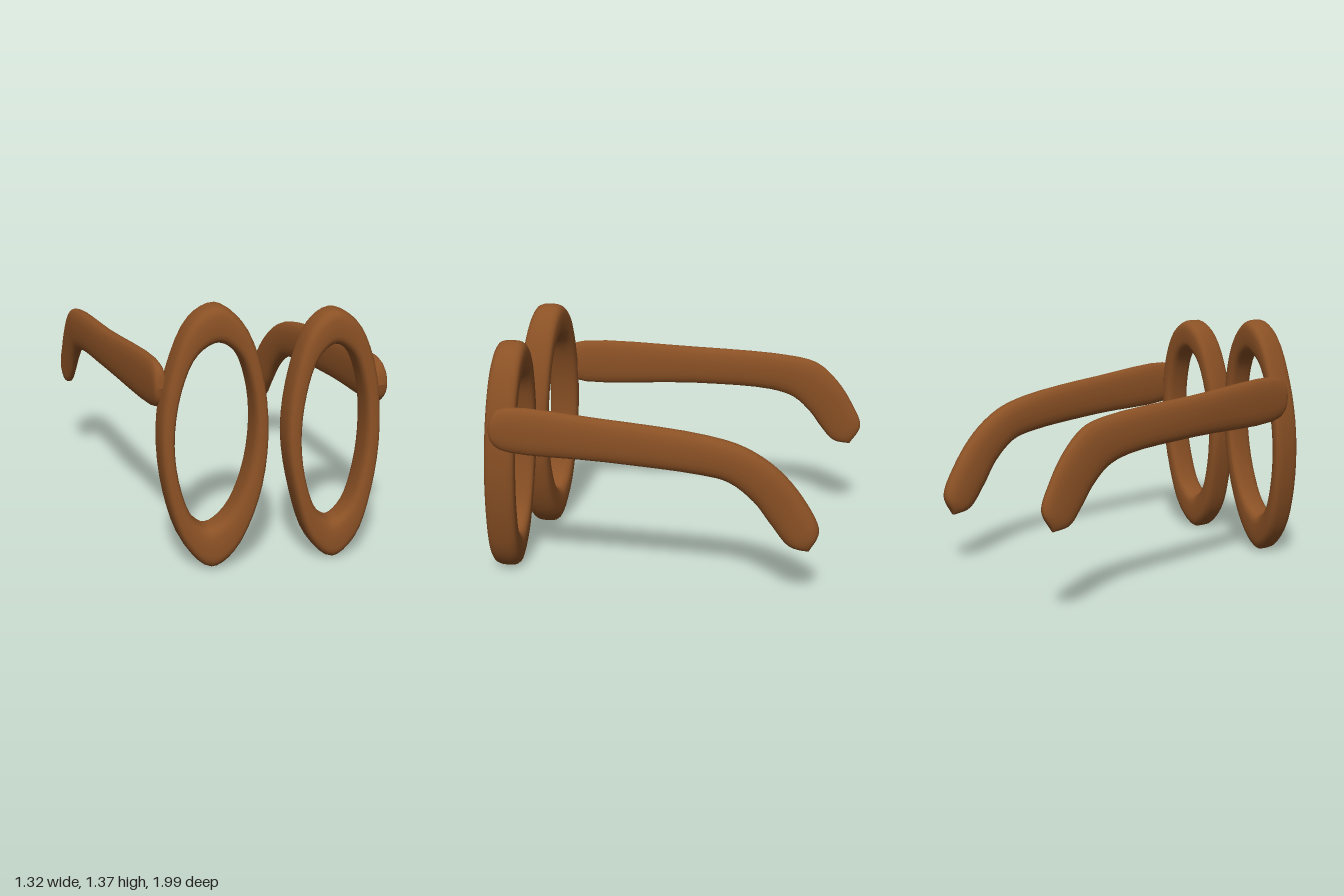
import * as THREE from 'three';

// Smooth skin through a grid of cross-sections; each section is a closed loop
function skin(rows, closed) {
  const n = rows[0].length, m = rows.length, index = [];
  for (let i = 0; i < (closed ? m : m - 1); i++) {
    for (let j = 0; j < n; j++) {
      const a = i * n + j, b = i * n + (j + 1) % n;
      const c = ((i + 1) % m) * n + j, d = ((i + 1) % m) * n + (j + 1) % n;
      index.push(a, b, c, b, d, c);
    }
  }
  const g = new THREE.BufferGeometry();
  g.setAttribute('position', new THREE.Float32BufferAttribute(rows.flat(2), 3));
  g.setIndex(index);
  g.computeVertexNormals();
  return g;
}

// Rounded-box outline in the range -1..1
function section(sides, power) {
  const round = v => Math.sign(v) * Math.abs(v) ** (2 / power);
  return Array.from({ length: sides }, (_, j) => {
    const a = (j / sides) * Math.PI * 2;
    return [round(Math.cos(a)), round(Math.sin(a))];
  });
}

const curve = (pts, closed) =>
  new THREE.CatmullRomCurve3(pts.map(p => new THREE.Vector3(p[0], p[1], p[2] ?? 0)), closed);

// Lens rim: skin between an outer and an inner outline, on a leaning plane
function rimGeometry({ outer, inner, centre, yaw, lean, depth }) {
  const co = curve(outer, true), ci = curve(inner, true), loop = section(24, 3.2), rows = [];
  for (let i = 0; i < 48; i++) {
    const o = co.getPoint(i / 48), n = ci.getPoint(i / 48);
    rows.push(loop.map(([u, v]) => {
      const x = (o.x + n.x) / 2 + (u * (o.x - n.x)) / 2;
      const y = (o.y + n.y) / 2 + (u * (o.y - n.y)) / 2;
      const z = centre[2] + yaw * (x - centre[0]) - lean * (y - centre[1]);
      return [x, y, z - v * depth];
    }));
  }
  return skin(rows, true);
}

// Temple arm: stations of [top z, top y, bottom z, bottom y, x, half width]
function armGeometry(stations) {
  const top = curve(stations.map(s => [s[4], s[1], s[0]]));
  const bottom = curve(stations.map(s => [s[4], s[3], s[2]]));
  const widths = curve(stations.map((s, i) => [i, s[5], 0]));
  const loop = section(20, 2.4), rows = [], steps = 56, spans = stations.length - 1;
  for (let i = 0; i <= steps; i++) {
    const t = (1 - Math.cos((i / steps) * Math.PI)) / 2;
    const e = Math.min(1, (t * spans) / 1.6, ((1 - t) * spans) / 1.4);
    const w = widths.getPoint(t).y * Math.sqrt(Math.max(0, 1 - (1 - e) ** 2));
    const p = top.getPoint(t), q = bottom.getPoint(t);
    rows.push(loop.map(([u, v]) => [
      (p.x + q.x) / 2 + v * w,
      (p.y + q.y) / 2 + (u * (p.y - q.y)) / 2,
      (p.z + q.z) / 2 + (u * (p.z - q.z)) / 2,
    ]));
  }
  return skin(rows, false);
}

const rightRim = {
  outer: [[-0.235, 1.375], [-0.36, 1.31], [-0.48, 1.05], [-0.535, 0.75], [-0.51, 0.4], [-0.42, 0.13],
    [-0.295, 0.01], [-0.18, 0.08], [-0.05, 0.35], [0.005, 0.7], [-0.03, 1.07], [-0.12, 1.29]],
  inner: [[-0.235, 1.185], [-0.34, 1.13], [-0.425, 0.95], [-0.465, 0.67], [-0.435, 0.43], [-0.375, 0.28],
    [-0.3, 0.23], [-0.2, 0.3], [-0.11, 0.49], [-0.067, 0.75], [-0.085, 0.97], [-0.14, 1.12]],
  centre: [-0.265, 0.69, 0.815], yaw: 0.14, lean: 0.05, depth: 0.083,
};
const leftRim = {
  outer: [[0.355, 1.32], [0.24, 1.25], [0.145, 1.03], [0.093, 0.7], [0.14, 0.36], [0.225, 0.11],
    [0.345, 0.005], [0.465, 0.09], [0.56, 0.35], [0.604, 0.7], [0.565, 1.06], [0.47, 1.26]],
  inner: [[0.355, 1.14], [0.265, 1.07], [0.2, 0.89], [0.175, 0.65], [0.205, 0.42], [0.26, 0.28],
    [0.345, 0.215], [0.435, 0.29], [0.5, 0.48], [0.525, 0.7], [0.51, 0.91], [0.45, 1.08]],
  centre: [0.35, 0.66, 0.875], yaw: 0, lean: 0.055, depth: 0.083,
};

const leftArm = [
  [0.91, 0.905, 0.91, 0.905, 0.615, 0.04],
  [0.89, 0.98, 0.89, 0.83, 0.615, 0.04],
  [0.84, 1.025, 0.83, 0.79, 0.615, 0.04],
  [0.3, 0.995, 0.3, 0.76, 0.612, 0.043],
  [-0.25, 0.93, -0.22, 0.715, 0.598, 0.051],
  [-0.45, 0.87, -0.36, 0.68, 0.588, 0.052],
  [-0.62, 0.755, -0.49, 0.575, 0.575, 0.052],
  [-0.76, 0.585, -0.58, 0.45, 0.563, 0.052],
  [-0.835, 0.42, -0.68, 0.33, 0.56, 0.05],
  [-0.785, 0.305, -0.785, 0.305, 0.56, 0.045],
];
const rightArm = [
  [0.77, 0.96, 0.77, 0.96, -0.51, 0.035],
  [0.75, 1.04, 0.75, 0.88, -0.512, 0.035],
  [0.69, 1.08, 0.69, 0.84, -0.517, 0.037],
  [0, 1.06, 0, 0.835, -0.592, 0.043],
  [-0.6, 1.02, -0.46, 0.81, -0.62, 0.045],
  [-0.74, 0.98, -0.6, 0.765, -0.625, 0.044],
  [-0.86, 0.87, -0.7, 0.675, -0.628, 0.041],
  [-0.95, 0.73, -0.77, 0.58, -0.632, 0.036],
  [-1.0, 0.6, -0.84, 0.505, -0.636, 0.033],
  [-0.94, 0.487, -0.94, 0.487, -0.637, 0.028],
];

export function createModel() {
  const group = new THREE.Group();
  group.name = 'spectacles';
  const brown = new THREE.MeshStandardMaterial({ color: 0x8b5125 });
  brown.name = 'brown';
  const add = (name, geometry) => {
    const mesh = new THREE.Mesh(geometry, brown);
    mesh.name = name;
    group.add(mesh);
  };
  add('rightRim', rimGeometry(rightRim));
  add('leftRim', rimGeometry(leftRim));
  add('rightArm', armGeometry(rightArm));
  add('leftArm', armGeometry(leftArm));
  return group;
}
